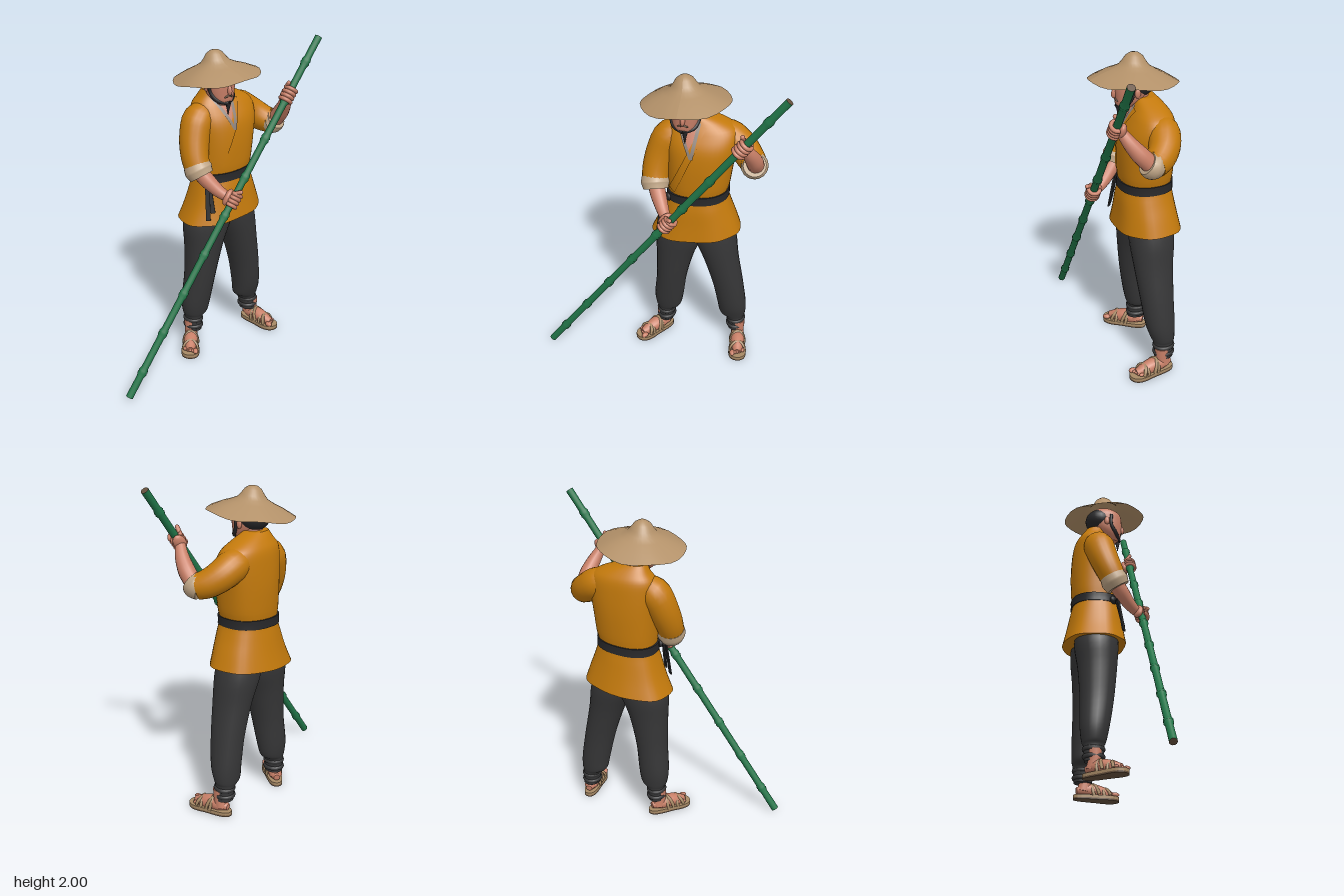
import * as THREE from 'three';

const V = (x, y, z) => new THREE.Vector3(x, y, z);
const mat = (name, color, side = THREE.FrontSide) => {
  const m = new THREE.MeshStandardMaterial({ color, side });
  m.name = name;
  return m;
};
const gold = mat('gold cloth', 0xc47a0c, THREE.DoubleSide), charcoal = mat('charcoal cloth', 0x363637);
const black = mat('black', 0x28282a), skin = mat('skin', 0xc98068, THREE.DoubleSide);
const straw = mat('straw', 0xb39169, THREE.DoubleSide), bamboo = mat('green bamboo', 0x217548);
const beige = mat('beige lining', 0xc0a687), sandalTan = mat('sandal tan', 0xa88a66);
const brown = mat('dark brown', 0x66503d), grey = mat('collar grey', 0x8d827a, THREE.DoubleSide);

function add(parent, name, geo, material, pos = [0, 0, 0], rot = [0, 0, 0], scale = [1, 1, 1]) {
  const m = new THREE.Mesh(geo, material);
  m.name = name;
  m.position.set(...pos);
  m.rotation.set(...rot);
  m.scale.set(...scale);
  parent.add(m);
  return m;
}

// Skin over a list of closed rings, with flat end caps
function skinRings(rings) {
  const n = rings[0].length, pos = [], idx = [];
  rings.forEach(r => r.forEach(p => pos.push(p.x, p.y, p.z)));
  for (let i = 0; i < rings.length - 1; i++)
    for (let j = 0; j < n; j++) {
      const a = i * n + j, b = i * n + (j + 1) % n;
      idx.push(a, a + n, b, b, a + n, b + n);
    }
  for (const [ring, top] of [[rings[0], false], [rings.at(-1), true]]) {
    const base = pos.length / 3, c = V(0, 0, 0);
    ring.forEach(p => { pos.push(p.x, p.y, p.z); c.addScaledVector(p, 1 / n); });
    pos.push(c.x, c.y, c.z);
    for (let j = 0; j < n; j++) {
      const a = base + j, b = base + (j + 1) % n;
      idx.push(base + n, top ? b : a, top ? a : b);
    }
  }
  const g = new THREE.BufferGeometry();
  g.setAttribute('position', new THREE.Float32BufferAttribute(pos, 3));
  g.setIndex(idx);
  g.computeVertexNormals();
  return g;
}

// Smoothly resample section rows [y, cx, cz, rx, rz, tilt, ripple]
function resample(rows, steps) {
  const out = [];
  for (let i = 0; i < rows.length - 1; i++)
    for (let k = 0; k < steps + (i === rows.length - 2 ? 1 : 0); k++) {
      const t = k / steps, p = rows[Math.max(i - 1, 0)], q = rows[i + 2] || rows[i + 1];
      out.push(rows[i].map((a, c) => {
        const b = rows[i + 1][c], m0 = (b - p[c]) / 2, m1 = (q[c] - a) / 2;
        return a + m0 * t + (3 * (b - a) - 2 * m0 - m1) * t * t + (2 * (a - b) + m0 + m1) * t ** 3;
      }));
    }
  return out;
}

// Upright loft through horizontal superellipse sections
function loft(rows, power = 2, n = 28, steps = 4) {
  const s = v => Math.sign(v) * Math.abs(v) ** (2 / power);
  return skinRings(resample(rows, steps).map(([y, cx, cz, rx, rz, tilt = 0, ripple = 0]) =>
    Array.from({ length: n }, (_, j) => {
      const a = j / n * Math.PI * 2, k = 1 + ripple * Math.sin(a * 7);
      const x = rx * k * s(Math.cos(a));
      return V(cx + x, y + tilt * x, cz + rz * k * s(Math.sin(a)));
    })));
}

// Limb along a curve with a radius at each point
function limb(points, radii, n = 16, steps = 14) {
  const curve = new THREE.CatmullRomCurve3(points.map(p => V(...p)));
  const f = curve.computeFrenetFrames(steps);
  return skinRings(Array.from({ length: steps + 1 }, (_, i) => {
    const c = curve.getPoint(i / steps), u = i / steps * (radii.length - 1), k = Math.min(Math.floor(u), radii.length - 2);
    const r = THREE.MathUtils.lerp(radii[k], radii[k + 1], u - k);
    return Array.from({ length: n }, (_, j) => {
      const a = j / n * Math.PI * 2;
      return c.clone().addScaledVector(f.normals[i], r * Math.cos(a)).addScaledVector(f.binormals[i], -r * Math.sin(a));
    });
  }));
}

const tunicRows = [
  [0.905, .19, -.065, .275, .195, .1, .015], [1.0, .195, -.06, .238, .178, .1, .012],
  [1.1, .195, -.055, .203, .163, .08, .008], [1.185, .195, -.055, .18, .148, .07, 0],
  [1.26, .2, -.055, .188, .155, .04, .006], [1.4, .205, -.057, .2, .158, 0, .004],
  [1.52, .21, -.062, .213, .148, 0, 0], [1.61, .21, -.078, .205, .12, 0, 0],
  [1.66, .19, -.08, .15, .09, 0, 0], [1.705, .14, -.07, .075, .06, 0, 0],
];
const tunicDense = resample(tunicRows, 4);
function chestZ(x, y) {
  const i = Math.max(1, tunicDense.findIndex(r => r[0] >= y)), a = tunicDense[i - 1], b = tunicDense[i];
  const t = (y - a[0]) / (b[0] - a[0]), [, cx, cz, rx, rz] = a.map((v, k) => v + (b[k] - v) * t);
  return cz + rz * (1 - Math.min(1, Math.abs((x - cx) / rx)) ** 2.3) ** (1 / 2.3);
}
// Thin cloth patch lying on the chest between two straight edges [x0, y0, x1, y1]
function patch(left, right, lift, rows = 16, cols = 8) {
  const g = new THREE.PlaneGeometry(1, 1, cols, rows), p = g.attributes.position, L = THREE.MathUtils.lerp;
  for (let i = 0; i < p.count; i++) {
    const u = p.getX(i) + .5, t = .5 - p.getY(i);
    const x = L(L(left[0], left[2], t), L(right[0], right[2], t), u);
    const y = L(L(left[1], left[3], t), L(right[1], right[3], t), u);
    p.setXYZ(i, x, y, chestZ(x, y) + lift);
  }
  g.computeVertexNormals();
  return g;
}

function makeHead() {
  const g = new THREE.Group();
  g.name = 'head';
  add(g, 'neck', limb([[.15, 1.56, -.06], [.14, 1.64, -.05], [.13, 1.72, -.03]], [.068, .06, .06]), skin);
  add(g, 'face', loft([[1.632, .125, .05, .03, .028], [1.66, .125, .038, .06, .058], [1.70, .125, .014, .08, .086],
    [1.76, .125, 0, .088, .104], [1.82, .125, -.005, .084, .1], [1.86, .125, -.01, .045, .06]], 2.2), skin);
  add(g, 'hair', new THREE.SphereGeometry(1, 24, 16), black, [.125, 1.775, -.042], [0, 0, 0], [.094, .08, .092]);
  add(g, 'nose', new THREE.SphereGeometry(1, 12, 10), skin, [.125, 1.728, .102], [-.25, 0, 0], [.014, .032, .02]);
  add(g, 'moustache', limb([[.085, 1.676, .08], [.105, 1.69, .096], [.125, 1.696, .1], [.145, 1.69, .096], [.165, 1.676, .08]],
    [.003, .007, .006, .007, .003], 8), brown);
  for (const s of [-1, 1]) {
    const x = .125;
    add(g, 'ear', new THREE.SphereGeometry(1, 10, 8), skin, [x + s * .09, 1.74, -.005], [0, 0, 0], [.012, .028, .018]);
    add(g, 'jawBeard', limb([[x + s * .088, 1.79, .025], [x + s * .084, 1.72, .025], [x + s * .06, 1.667, .06], [x, 1.648, .085]],
      [.01, .011, .013, .016], 8), black);
  }
  add(g, 'goatee', new THREE.ConeGeometry(.02, .09, 10), black, [.135, 1.612, .08], [Math.PI, 0, 0]);
  return g;
}

function makeHat() {
  const profile = [[.262, -.008], [.19, .03], [.13, .055], [.09, .076], [.07, .1], [.05, .13], [.026, .147], [0, .152]];
  const g = new THREE.LatheGeometry(profile.map(p => new THREE.Vector2(...p)), 28), p = g.attributes.position;
  // Gentle waves that fade toward the crown
  for (let i = 0; i < p.count; i++) {
    const r = Math.hypot(p.getX(i), p.getZ(i));
    p.setY(i, p.getY(i) + .09 * r * r * Math.sin(5 * Math.atan2(p.getZ(i), p.getX(i))));
  }
  g.computeVertexNormals();
  const hat = new THREE.Mesh(g, straw);
  hat.name = 'strawHat';
  hat.position.set(.12, 1.8, -.012);
  hat.rotation.set(-.07, 0, .09);
  return hat;
}

// Sandalled foot, toes toward local +z
function makeFoot(name, x, z, yaw, side) {
  const g = new THREE.Group();
  g.name = name;
  const sole = new THREE.Shape();
  sole.moveTo(0, -.145);
  sole.bezierCurveTo(.06, -.145, .04, -.02, .056, .05);
  sole.bezierCurveTo(.066, .13, .03, .15, 0, .15);
  sole.bezierCurveTo(-.03, .15, -.066, .13, -.056, .05);
  sole.bezierCurveTo(-.04, -.02, -.06, -.145, 0, -.145);
  const slab = d => new THREE.ExtrudeGeometry(sole, { depth: d, bevelEnabled: false, curveSegments: 8 });
  add(g, 'sandalSole', slab(.01), brown, [0, .01, 0], [Math.PI / 2, 0, 0]);
  add(g, 'sandalBed', slab(.018), sandalTan, [0, .028, 0], [Math.PI / 2, 0, 0]);
  add(g, 'foot', limb([[0, .055, -.125], [0, .06, -.07], [0, .058, 0], [0, .045, .06], [0, .04, .11]], [.02, .042, .045, .04, .022]), skin);
  add(g, 'ankle', limb([[0, .05, -.08], [0, .1, -.07], [0, .17, -.07]], [.042, .04, .044]), skin);
  for (let i = 0; i < 5; i++)
    add(g, 'toe', new THREE.SphereGeometry(i ? .012 : .017, 10, 8), skin, [side * (-.034 + i * .017), .04, .118 - i * .007], [0, 0, 0], [1, .9, 1.5]);
  for (const [sz, ry] of [[.065, .35], [.06, -.35], [-.005, .3], [-.01, -.3]])
    add(g, 'sandalStrap', new THREE.TorusGeometry(.05, .008, 6, 16, Math.PI), sandalTan, [0, .028, sz], [-.25, ry, 0], [1, sz > .03 ? 1.08 : 1.45, 1.4]);
  g.position.set(x, 0, z);
  g.rotation.y = yaw;
  return g;
}

const lean = Math.atan2(1.43, 1.96);
// Fist closed round the pole, local y along the pole
function makeHand(name, x, y, turn) {
  const g = new THREE.Group();
  g.name = name;
  const grip = new THREE.Group();
  grip.rotation.y = turn;
  for (let i = 0; i < 4; i++)
    add(grip, 'finger', new THREE.TorusGeometry(.034, .0125, 8, 16, Math.PI * 1.35), skin, [0, -.036 + i * .024, 0], [Math.PI / 2, 0, -.6]);
  add(grip, 'palm', new THREE.SphereGeometry(1, 16, 12), skin, [0, 0, -.034], [0, 0, 0], [.038, .055, .024]);
  add(grip, 'thumb', new THREE.CapsuleGeometry(.013, .045, 4, 8), skin, [-.034, .045, .008], [.9, 0, .2]);
  g.add(grip);
  g.position.set(x, y, .22);
  g.rotation.z = -lean;
  return g;
}

function makePole() {
  const g = new THREE.Group(), half = 1.218, pts = [[.023, -half]];
  g.name = 'bambooPole';
  for (let i = -4; i <= 4; i++)
    for (const [r, d] of [[.022, -.03], [.029, -.008], [.025, 0], [.029, .008], [.022, .03]]) pts.push([r, i * .262 + d]);
  pts.push([.023, half]);
  add(g, 'poleStem', new THREE.LatheGeometry(pts.map(p => new THREE.Vector2(...p)), 12), bamboo);
  for (const s of [-1, 1]) add(g, 'poleEnd', new THREE.CircleGeometry(.023, 12), brown, [0, s * half, 0], [-s * Math.PI / 2, 0, 0]);
  g.position.set(0, 1, .22);
  g.rotation.z = -lean;
  return g;
}

export function createModel() {
  const model = new THREE.Group();
  model.name = 'traveller';
  model.add(makeHead(), makeHat(), makePole());

  // Tunic, neckline and belt
  add(model, 'tunic', loft(tunicRows, 2.3, 42), gold);
  add(model, 'bareChest', patch([.085, 1.675, .17, 1.48], [.205, 1.675, .175, 1.48], .005), skin);
  add(model, 'rightCollar', patch([.068, 1.67, .165, 1.475], [.09, 1.675, .18, 1.485], .009), grey);
  add(model, 'leftCollar', patch([.195, 1.675, .165, 1.475], [.215, 1.67, .185, 1.475], .009), grey);
  add(model, 'frontLapel', patch([.215, 1.66, .035, 1.24], [.25, 1.65, .075, 1.22], .008), gold);
  add(model, 'belt', loft([[1.158, .195, -.055, .19, .158, .07], [1.185, .195, -.055, .189, .157, .07], [1.212, .195, -.055, .19, .158, .07]], 2.3, 36), black);
  add(model, 'beltKnot', new THREE.SphereGeometry(1, 12, 8), black, [.03, 1.16, .035], [0, -.7, 0], [.03, .026, .02]);
  for (const [x, len, tilt] of [[-.012, .22, -.1], [.012, .18, .02]])
    add(model, 'beltEnd', new THREE.BoxGeometry(.028, len, .009), black, [x, 1.15 - len / 2, .075], [-.22, -.7, tilt]);

  // Trousers gathered above the ankles
  add(model, 'rightTrouser', loft([[.1, -.005, -.085, .05, .058], [.16, -.004, -.087, .053, .06], [.2, 0, -.087, .058, .063],
    [.23, .01, -.085, .082, .073], [.32, .015, -.08, .095, .088], [.5, .035, -.065, .098, .103], [.7, .06, -.06, .122, .12],
    [.86, .09, -.063, .155, .136], [1.0, .12, -.06, .13, .13]], 2.1, 24), charcoal);
  add(model, 'leftTrouser', loft([[.1, .468, -.09, .053, .058], [.16, .463, -.092, .055, .06], [.2, .455, -.092, .06, .064],
    [.23, .44, -.09, .084, .074], [.32, .432, -.078, .092, .09], [.5, .4, -.066, .098, .103], [.7, .35, -.06, .112, .12],
    [.86, .305, -.063, .135, .136], [1.0, .27, -.06, .13, .13]], 2.1, 24), charcoal);
  for (const [x, z] of [[-.004, -.087], [.464, -.091]])
    for (const y of [.13, .175]) add(model, 'ankleWrap', new THREE.TorusGeometry(.053, .01, 8, 20), charcoal, [x, y, z], [Math.PI / 2, 0, 0], [1, 1.1, 1.4]);
  model.add(makeFoot('rightFoot', -.068, -.03, -.68, -1), makeFoot('leftFoot', .495, -.005, .16, 1));

  // Right arm, lowered to the pole
  add(model, 'rightSleeve', limb([[.1, 1.58, -.07], [.02, 1.53, -.06], [-.03, 1.42, -.035], [-.052, 1.32, 0], [-.052, 1.255, .03]],
    [.07, .1, .092, .084, .078], 20), gold);
  add(model, 'rightCuff', limb([[-.055, 1.285, .015], [-.05, 1.25, .033], [-.042, 1.215, .055]], [.08, .087, .074], 20), beige);
  add(model, 'rightForearm', limb([[-.05, 1.25, .03], [-.02, 1.19, .08], [.02, 1.13, .14], [.05, 1.1, .185]], [.05, .048, .038, .03]), skin);
  model.add(makeHand('rightHand', .065, 1.09, .7));

  // Left arm, bent up to the pole
  add(model, 'leftSleeve', limb([[.28, 1.58, -.1], [.37, 1.55, -.1], [.45, 1.5, -.075], [.51, 1.455, -.02], [.535, 1.445, .02]],
    [.07, .096, .09, .082, .076], 20), gold);
  add(model, 'leftCuff', limb([[.525, 1.44, .005], [.537, 1.45, .035], [.54, 1.468, .062]], [.076, .08, .066], 20), beige);
  add(model, 'leftForearm', limb([[.545, 1.455, .04], [.54, 1.52, .1], [.52, 1.59, .155], [.495, 1.645, .19]], [.05, .05, .04, .03]), skin);
  model.add(makeHand('leftHand', .485, 1.665, -.5));
  return model;
}
